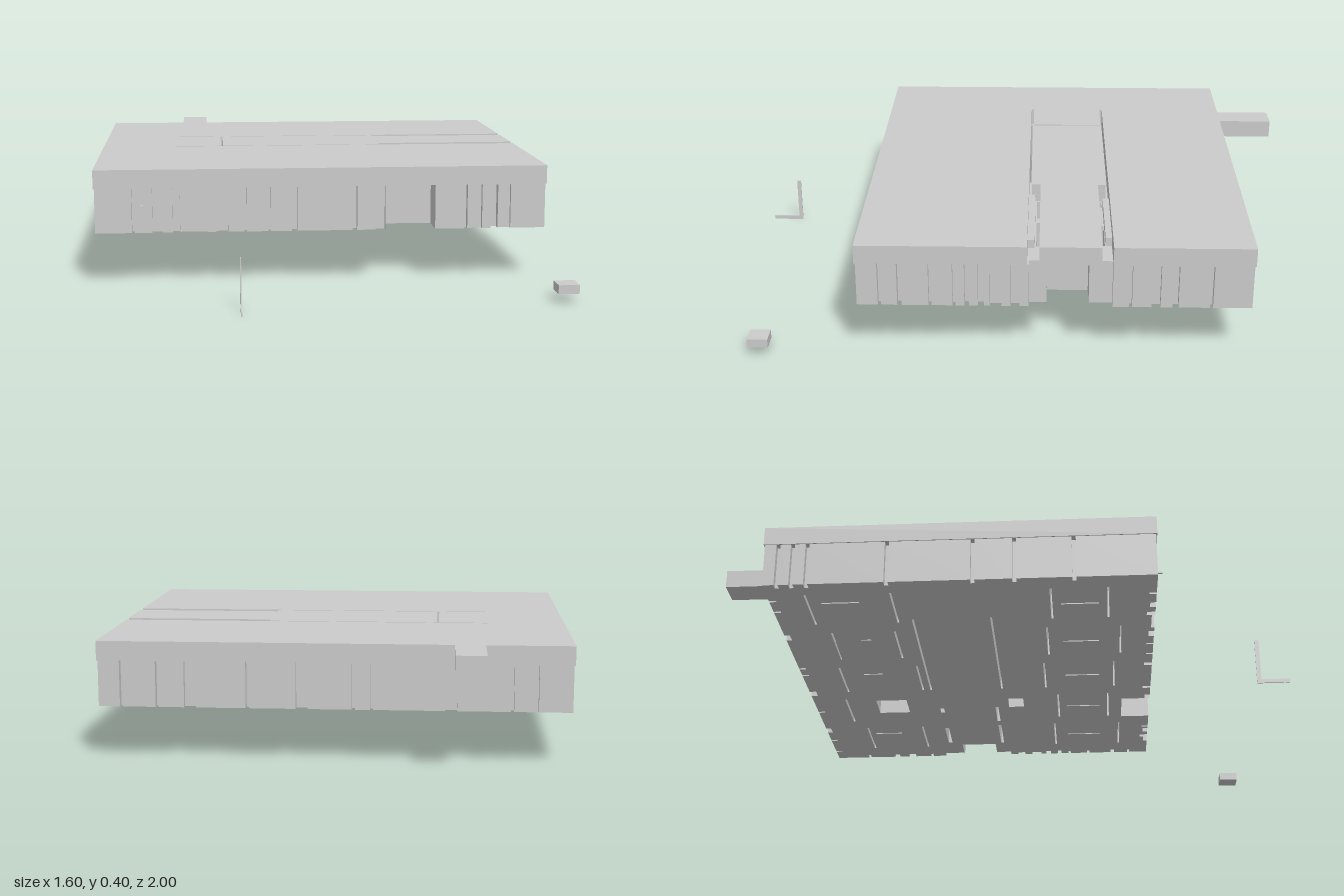
import * as THREE from 'three';

const material = new THREE.MeshStandardMaterial({ color: 0xcccccc, flatShading: true, side: THREE.DoubleSide });
const X0 = -0.8, X1 = 0.77, Z0 = -0.8, Z1 = 0.53;
const BASE = 0.18, DECK = 0.335, TOP = 0.4;

// Plan outline in (x, z), extruded upwards from y0 to y1
function addPlan(group, name, points, y0, y1, holes = []) {
  const toVec = ([x, z]) => new THREE.Vector2(x, -z);
  const shape = new THREE.Shape(points.map(toVec));
  for (const [xa, xb, za, zb] of holes) {
    shape.holes.push(new THREE.Path([[xa, za], [xb, za], [xb, zb], [xa, zb]].map(toVec)));
  }
  const geometry = new THREE.ExtrudeGeometry(shape, { depth: y1 - y0, bevelEnabled: false });
  geometry.rotateX(-Math.PI / 2).translate(0, y0, 0);
  const mesh = new THREE.Mesh(geometry, material);
  mesh.name = name;
  group.add(mesh);
}

function addBox(group, name, xa, xb, ya, yb, za, zb) {
  const mesh = new THREE.Mesh(new THREE.BoxGeometry(xb - xa, yb - ya, zb - za), material);
  mesh.position.set((xa + xb) / 2, (ya + yb) / 2, (za + zb) / 2);
  mesh.name = name;
  group.add(mesh);
}

// One side of the wall outline; each recess is [start, end, depth]
function side(recesses, place, reverse = false) {
  const points = [];
  for (const [a, b, depth] of recesses) {
    points.push(place(a, 0), place(a, depth), place(b, depth), place(b, 0));
  }
  return reverse ? points.reverse() : points;
}

export function createModel() {
  const model = new THREE.Group();

  // Wall recesses on each side, ordered along the axis
  const slits = (list, width = 0.01, depth = 0.025) => list.map((c) => [c - width / 2, c + width / 2, depth]);
  const front = [
    ...slits([-0.665]), [-0.6, -0.565, 0.02], [-0.53, -0.505, 0.03], [-0.505, -0.41, 0.012],
    [-0.38, -0.34, 0.02], ...slits([-0.28, -0.197]), [-0.12, -0.1, 0.03], [0.09, 0.107, 0.03],
    [0.17, 0.205, 0.02], [0.205, 0.38, 0.11], ...slits([0.488]), [0.51, 0.545, 0.02],
    [0.575, 0.6, 0.03], [0.6, 0.645, 0.015],
  ];
  const right = [
    ...slits([-0.66]), [-0.55, -0.53, 0.025], [-0.49, -0.46, 0.025], ...slits([-0.39]),
    [-0.33, -0.25, 0.03], [-0.25, -0.11, 0.12], [-0.11, -0.05, 0.03], [-0.02, 0.01, 0.02],
    [0.04, 0.08, 0.02], [0.1, 0.12, 0.03], [0.15, 0.165, 0.03], ...slits([0.2, 0.28]),
    [0.375, 0.39, 0.03], ...slits([0.45]),
  ];
  const back = [
    ...slits([-0.68, -0.6]), [-0.42, -0.38, 0.02], ...slits([-0.14, -0.08]),
    [0.07, 0.11, 0.025], ...slits([0.27]), [0.44, 0.48, 0.02], ...slits([0.57, 0.69]),
  ];
  const left = slits([-0.75, -0.7, -0.65, -0.38, -0.09, 0.05, 0.25], 0.014);

  const inset = 0.004;
  const xa = X0 + inset, xb = X1 - inset, za = Z0 + inset, zb = Z1 - inset;
  const outline = [
    [xa, zb], ...side(front, (t, d) => [t, zb - d]),
    [xb, zb], ...side(right, (t, d) => [xb - d, t], true),
    [xb, za], ...side(back, (t, d) => [t, za + d], true),
    [xa, za], ...side(left, (t, d) => [xa + d, t]),
  ];

  // Open shafts through the lower body, then narrow seams between its blocks
  const openings = [
    [0.17, 0.29, -0.55, -0.43], [0.18, 0.26, -0.03, 0.03],
    [0.26, 0.3, -0.306, -0.29], [0.46, 0.62, -0.306, -0.29],
    [0.26, 0.4, -0.085, -0.073], [0.44, 0.63, -0.085, -0.073],
  ];
  const seams = [];
  const seamX = (x, z, length) => seams.push([x, x + length, z, z + 0.007]);
  const seamZ = (x, z, length) => seams.push([x, x + 0.007, z, z + length]);
  [-0.67, -0.4, 0.12, 0.36].forEach((z, row) => {
    for (let i = 0; i < 5; i++) {
      const x = -0.72 + i * 0.29;
      if (row !== 1 || i !== 3) seamX(x, z + ((i * 2 + row) % 3) * 0.022, 0.22);
    }
  });
  [-0.62, 0.2].forEach((z, row) => {
    for (let i = 0; i < 5; i++) {
      if (row === 0 && i === 3) continue;
      seamZ(-0.66 + i * 0.29 + row * 0.05, z, 0.13);
    }
  });
  [-0.325, -0.05].forEach((z) => seamX(-0.52, z, 0.6));
  addPlan(model, 'lowerWalls', outline, BASE, DECK, [...openings, ...seams]);

  // Upper slab: a frame cut by two long slots that open on the right
  const frame = [
    [X0, Z0], [X1, Z0], [X1, -0.33], [-0.53, -0.33], [-0.53, -0.32], [-0.356, -0.32],
    [-0.356, -0.054], [-0.53, -0.054], [-0.53, -0.044], [X1, -0.044], [X1, Z1], [X0, Z1],
  ];
  addPlan(model, 'roofSlab', frame, DECK, TOP);

  // Central roof strip between the slots
  const strip = [
    [-0.348, -0.32], [0.25, -0.32], [0.25, -0.292], [X1, -0.292],
    [X1, -0.085], [0.25, -0.085], [0.25, -0.054], [-0.348, -0.054],
  ];
  addPlan(model, 'centralRoofStrip', strip, DECK, TOP);

  // Ledges lying in the wide slots
  addBox(model, 'slotLedgeBack', 0.29, 0.62, DECK, 0.365, -0.33, -0.308);
  addBox(model, 'slotLedgeFront', 0.26, 0.64, DECK, 0.365, -0.068, -0.044);

  // Projecting beam at the back and a pin on the front
  addBox(model, 'backBeam', -0.51, -0.41, DECK, TOP, -1, Z0);
  addBox(model, 'frontPin', -0.638, -0.632, 0.272, 0.278, Z1 - 0.01, 0.55);

  // Detached thin bracket and small block
  const bracket = new THREE.Group();
  bracket.name = 'thinBracket';
  addBox(bracket, 'bracketPost', -0.309, -0.305, 0, 0.168, 0.885, 0.9);
  addBox(bracket, 'bracketFoot', -0.309, -0.305, 0, 0.014, 0.9, 1);
  model.add(bracket);
  addBox(model, 'smallBlock', 0.73, 0.8, 0.03, 0.06, 0.83, 0.9);

  return model;
}
